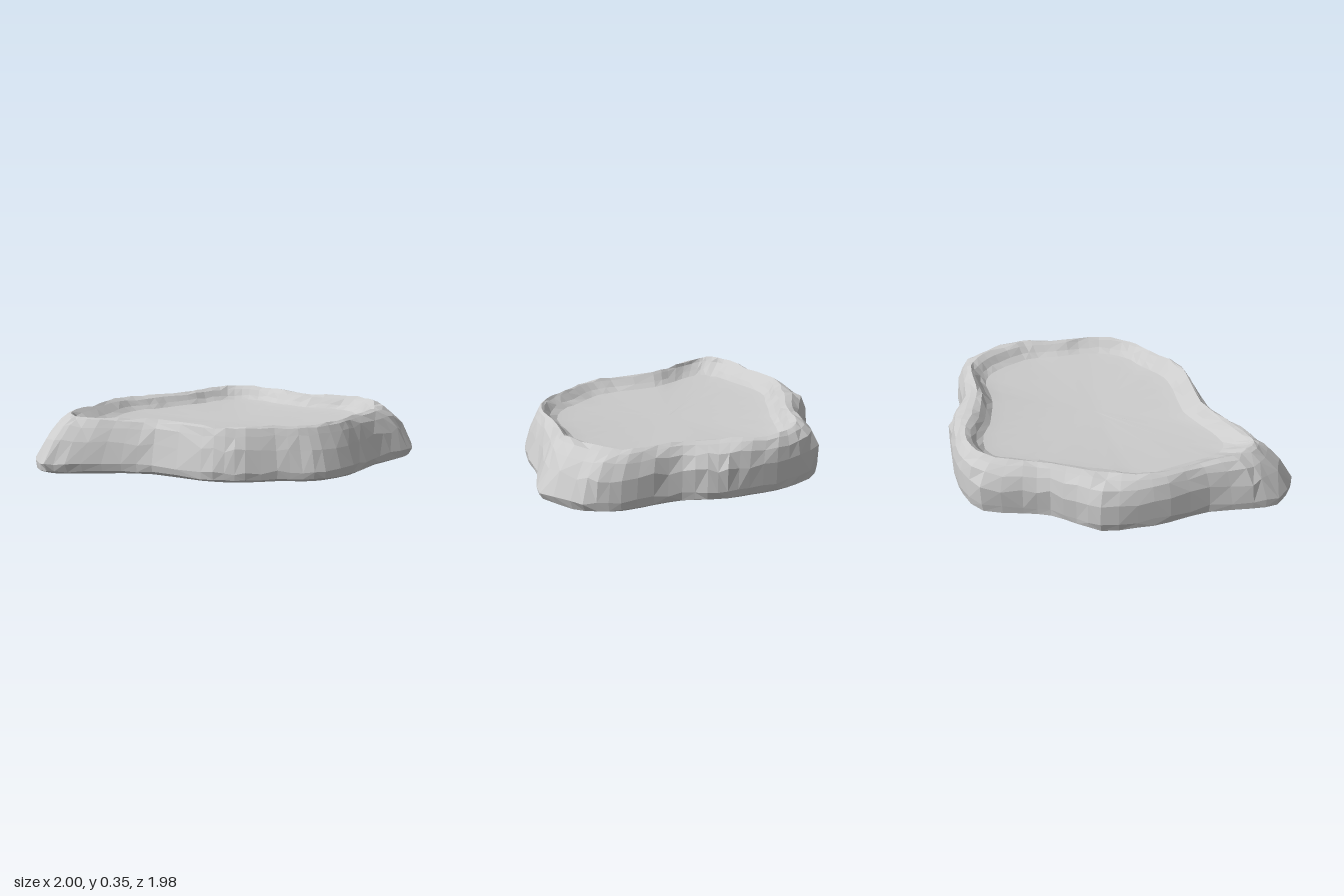
import * as THREE from 'three';

// Plan of the stone, clockwise from the back left: [outer x, outer z, inner rim x, inner rim z]
const PLAN = [
  [-0.64, -0.87, -0.53, -0.74], [-0.45, -0.97, -0.46, -0.83], [-0.28, -0.99, -0.36, -0.88],
  [-0.1, -0.985, -0.2, -0.87], [0.04, -0.985, -0.08, -0.81], [0.15, -0.95, 0.06, -0.78],
  [0.28, -0.89, 0.2, -0.75], [0.45, -0.875, 0.36, -0.76], [0.65, -0.87, 0.51, -0.76],
  [0.78, -0.83, 0.6, -0.7], [0.89, -0.74, 0.67, -0.6], [0.99, -0.53, 0.75, -0.42],
  [0.97, -0.39, 0.76, -0.32], [0.9, -0.2, 0.74, -0.17], [0.875, 0, 0.74, 0],
  [0.85, 0.15, 0.73, 0.15], [0.76, 0.36, 0.66, 0.3], [0.65, 0.44, 0.58, 0.38],
  [0.52, 0.51, 0.46, 0.44], [0.37, 0.63, 0.33, 0.54], [0.26, 0.68, 0.22, 0.58],
  [0.12, 0.71, 0.08, 0.59], [-0.22, 0.7, -0.24, 0.57], [-0.4, 0.765, -0.38, 0.62],
  [-0.6, 0.885, -0.55, 0.7], [-0.75, 0.97, -0.7, 0.74], [-0.84, 0.98, -0.75, 0.73],
  [-0.98, 0.84, -0.81, 0.67], [-0.98, 0.68, -0.84, 0.56], [-0.95, 0.42, -0.86, 0.36],
  [-0.99, 0.17, -0.89, 0.14], [-1.0, -0.03, -0.87, -0.01], [-0.98, -0.24, -0.8, -0.14],
  [-0.88, -0.36, -0.74, -0.28], [-0.78, -0.49, -0.65, -0.45], [-0.72, -0.64, -0.59, -0.6],
];
const N = 72;
const MID = new THREE.Vector3(-0.04, 0, -0.06);

// Repeatable value in -1..1 for ring r, step i
function rough(r, i) {
  const s = Math.sin(r * 127.1 + i * 311.7) * 43758.5453;
  return (s - Math.floor(s)) * 2 - 1;
}

// getPoint keeps the outer and inner loops paired
function sampleLoop(col) {
  const pts = PLAN.map(p => new THREE.Vector3(p[col], 0, p[col + 1]));
  const curve = new THREE.CatmullRomCurve3(pts, true);
  return Array.from({ length: N }, (_, i) => curve.getPoint(i / N));
}

// Skin of quads through rings, optionally closed by a centre point at either end
function skin(rings, first, last) {
  const pos = [], idx = [];
  rings.forEach(ring => ring.forEach(p => pos.push(p.x, p.y, p.z)));
  for (let r = 0; r < rings.length - 1; r++) {
    for (let i = 0; i < N; i++) {
      const a = r * N + i, b = r * N + (i + 1) % N;
      const c = a + N, d = b + N;
      if (rough(r + 60, i) > 0) idx.push(a, c, b, b, c, d);
      else idx.push(a, c, d, a, d, b);
    }
  }
  const cap = (p, base, up) => {
    const k = pos.length / 3;
    pos.push(p.x, p.y, p.z);
    for (let i = 0; i < N; i++) {
      const a = base + i, b = base + (i + 1) % N;
      if (up) idx.push(a, k, b);
      else idx.push(a, b, k);
    }
  };
  if (first) cap(first, 0, false);
  if (last) cap(last, (rings.length - 1) * N, true);
  const g = new THREE.BufferGeometry();
  g.setAttribute('position', new THREE.Float32BufferAttribute(pos, 3));
  g.setIndex(idx);
  g.computeVertexNormals();
  return g;
}

export function createModel() {
  const group = new THREE.Group();
  group.name = 'stoneBasin';
  const outer = sampleLoop(0), inner = sampleLoop(2);

  // slope: 0 where the side is upright (back left), 1 where it leans in (front right and front tip)
  const slope = outer.map(p => {
    const lean = (p.x + p.z) / (Math.SQRT2 * Math.hypot(p.x, p.z));
    const tip = THREE.MathUtils.smoothstep(p.z, 0.55, 0.85);
    return THREE.MathUtils.clamp(Math.max(0.5 + 0.55 * lean, tip), 0, 1);
  });

  // t runs from the outer loop (0) to the inner rim (1); the rim rises away from the middle
  const between = (r, tOf, y, amount) => outer.map((p, i) => {
    const q = p.clone().lerp(inner[i], tOf(slope[i]) + rough(r + 20, i) * amount * 4);
    q.y = y + rough(r, i) * amount + 0.05 * y * (q.x * q.x + q.z * q.z);
    return q;
  });
  // Inner rim drawn in towards the middle, further along the gentle front bank
  const inward = (r, k, y, amount) => inner.map((p, i) => {
    const front = Math.max(0, p.z) * (1 - k) * 0.9;
    const q = MID.clone().lerp(p, k - front + rough(r, i) * amount);
    q.y = y + rough(r + 9, i) * amount;
    return q;
  });

  // Outer side, rounded top and inner bank
  const floorEdge = inward(9, 0.9, 0.255, 0.003);
  const rim = [
    between(0, () => 0.25, 0.012, 0.001),
    between(1, () => 0.06, 0.028, 0.004),
    between(2, () => 0.01, 0.07, 0.01),
    between(3, s => 0.02 + 0.32 * s, 0.19, 0.015),
    between(4, s => 0.22 + 0.42 * s, 0.27, 0.01),
    between(5, s => 0.52 + 0.32 * s, 0.31, 0.006),
    between(6, s => 0.8 + 0.17 * s, 0.324, 0.006),
    inward(7, 0.99, 0.318, 0.006),
    inward(8, 0.945, 0.28, 0.005),
    floorEdge,
  ];
  const rimMesh = new THREE.Mesh(
    skin(rim, new THREE.Vector3(0, 0, 0), null),
    new THREE.MeshStandardMaterial({ color: 0xcccccc, flatShading: true }));
  rimMesh.name = 'rockRim';

  // Smooth, slightly dished floor
  const floor = [floorEdge, inward(10, 0.78, 0.242, 0), inward(11, 0.4, 0.23, 0)];
  const floorMesh = new THREE.Mesh(
    skin(floor, null, new THREE.Vector3(MID.x, 0.225, MID.z)),
    new THREE.MeshStandardMaterial({ color: 0xcccccc }));
  floorMesh.name = 'basinFloor';

  group.add(rimMesh, floorMesh);
  return group;
}
